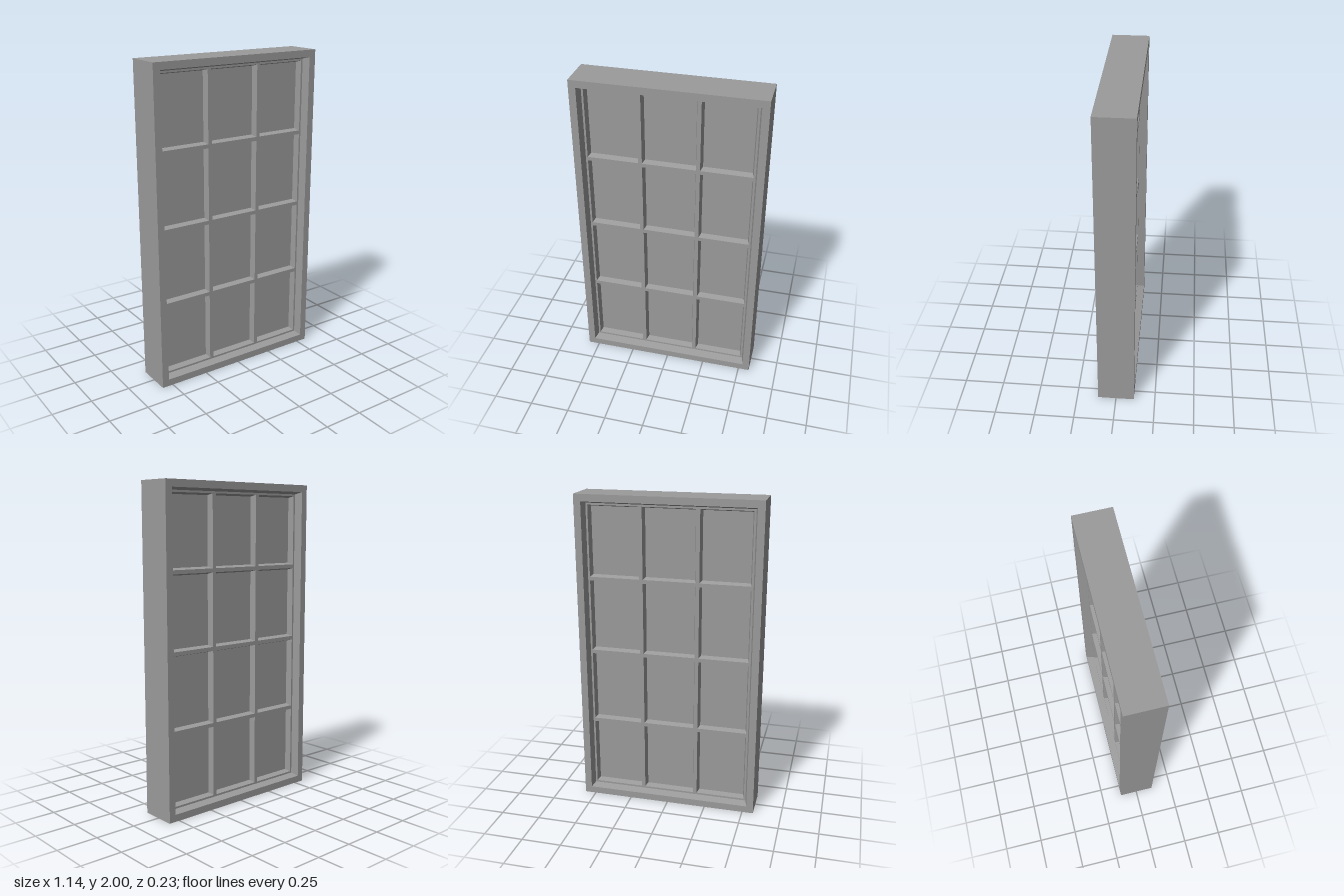
import * as THREE from 'three';

const material = new THREE.MeshStandardMaterial({ color: 0x9b9b9b, flatShading: true });

// Sweeps a closed profile of [inset, z] points around a rectangle with mitred corners.
function mouldedRing(x0, x1, y0, y1, profile) {
  const corners = ([inset, z]) => [
    [x0 + inset, y0 + inset, z], [x1 - inset, y0 + inset, z],
    [x1 - inset, y1 - inset, z], [x0 + inset, y1 - inset, z],
  ];
  const positions = [];
  profile.forEach((point, i) => {
    const p = corners(point);
    const q = corners(profile[(i + 1) % profile.length]);
    for (let a = 0; a < 4; a++) {
      const b = (a + 1) % 4;
      positions.push(...p[a], ...p[b], ...q[b], ...p[a], ...q[b], ...q[a]);
    }
  });
  const geometry = new THREE.BufferGeometry();
  geometry.setAttribute('position', new THREE.Float32BufferAttribute(positions, 3));
  geometry.computeVertexNormals();
  return geometry;
}

// Completes a front half profile with its mirror image at the back.
const mirrored = (half) => [...half, ...half.map(([inset, z]) => [inset, -z]).reverse()];

export function createModel() {
  const model = new THREE.Group();
  model.name = 'window';
  const add = (parent, name, geometry) => {
    const mesh = new THREE.Mesh(geometry, material);
    mesh.name = name;
    parent.add(mesh);
    return mesh;
  };

  const faceZ = 0.115, sashZ = 0.065, glassZ = 0.027;

  // Outer frame with a slightly splayed opening
  add(model, 'outerFrame', mouldedRing(-0.571, 0.571, 0, 2,
    mirrored([[0, faceZ], [0.044, faceZ], [0.057, sashZ]])));

  // Sash and glazing bars: one bevelled surround per pane, meeting at the bar centres
  const sash = new THREE.Group();
  sash.name = 'sash';
  model.add(sash);
  const xs = [-0.514, -0.176, 0.176, 0.514];
  const ys = [0.057, 0.524, 1.001, 1.478, 1.943];
  const barProfile = mirrored([[0, sashZ], [0.012, sashZ], [0.022, glassZ]]);
  for (let row = 0; row < 4; row++) {
    for (let col = 0; col < 3; col++) {
      add(sash, 'paneSurround',
        mouldedRing(xs[col], xs[col + 1], ys[row], ys[row + 1], barProfile));
    }
  }

  // Glass sheet behind all the bars
  add(model, 'glass', new THREE.BoxGeometry(1.02, 1.88, glassZ * 2)).position.y = 1;

  return model;
}
